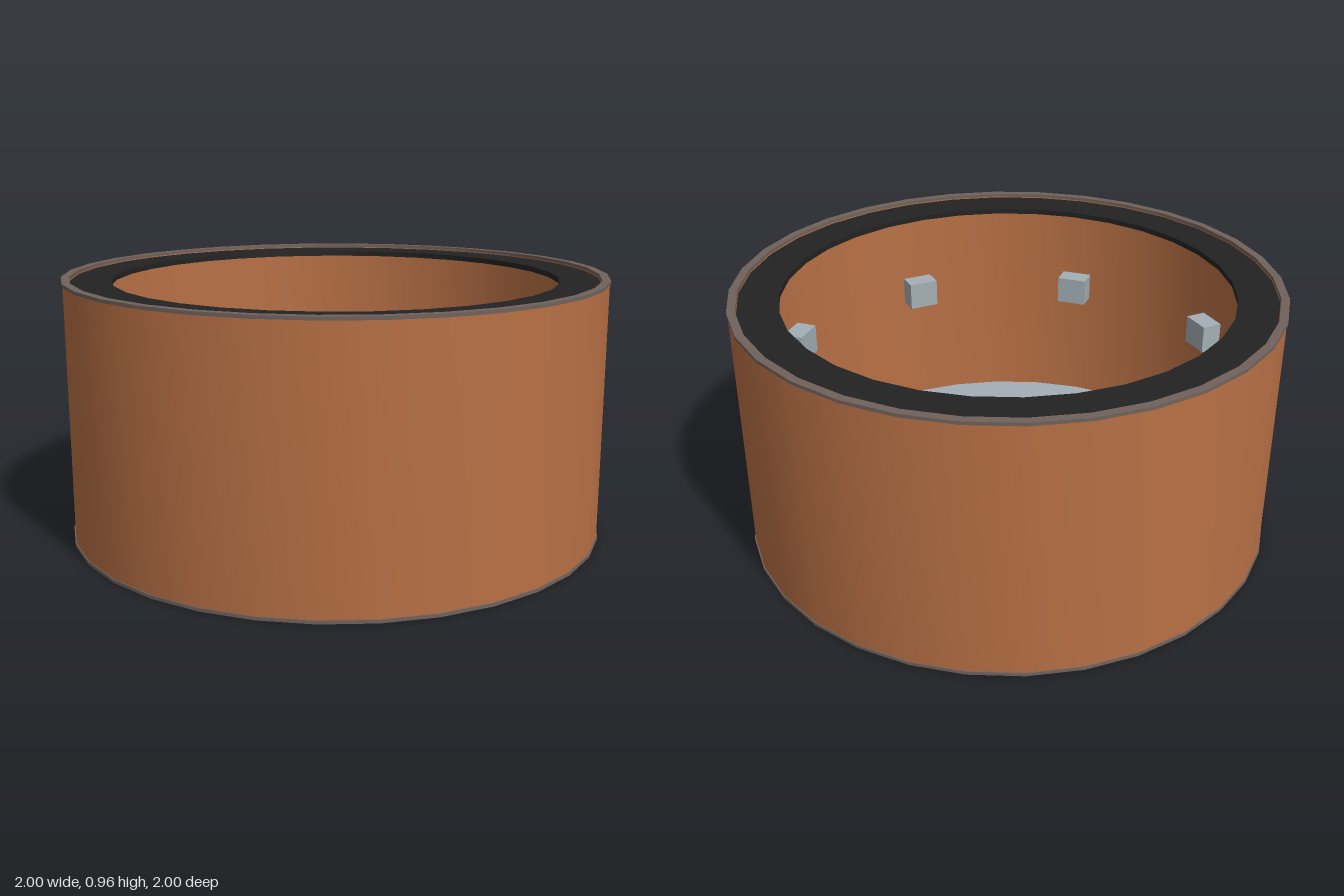
import * as THREE from 'three';
import { toCreasedNormals } from 'three/addons/utils/BufferGeometryUtils.js';

const SIDES = 32;

const mat = (name, color) => {
  const m = new THREE.MeshStandardMaterial({ color });
  m.name = name;
  return m;
};

// Closed ring with a rectangular section, smooth around and sharp at the rims
function ring(name, inner, outer, y0, y1, material) {
  const profile = [[inner, y0], [outer, y0], [outer, y1], [inner, y1], [inner, y0]]
    .map(([r, y]) => new THREE.Vector2(r, y));
  const geometry = toCreasedNormals(new THREE.LatheGeometry(profile, SIDES), 0.6);
  const mesh = new THREE.Mesh(geometry, material);
  mesh.name = name;
  return mesh;
}

export function createModel() {
  const copper = mat('copper', 0xb87045);
  const black = mat('black', 0x222222);
  const steel = mat('steel', 0xa3afb5);
  const trim = mat('brown grey trim', 0x70625c);

  const model = new THREE.Group();
  model.name = 'ringShell';

  // Outer wall with a thin trim hoop on each edge
  model.add(ring('shell', 0.975, 0.996, 0.012, 0.948, copper));
  model.add(ring('bottomHoop', 0.97, 1, 0, 0.012, trim));
  model.add(ring('topHoop', 0.97, 1, 0.948, 0.96, trim));

  // Inward flanges, set slightly inside the hoops
  model.add(ring('topFlange', 0.822, 0.968, 0.925, 0.945, black));
  model.add(ring('bottomFlange', 0.807, 0.972, 0.015, 0.035, steel));

  // Eight blocks around the inside
  const blocks = new THREE.Group();
  blocks.name = 'innerBlocks';
  const blockGeometry = new THREE.BoxGeometry(0.12, 0.11, 0.08);
  for (let i = 0; i < 8; i++) {
    const angle = (i + 0.5) * Math.PI / 4;
    const block = new THREE.Mesh(blockGeometry, steel);
    block.name = 'innerBlock';
    block.position.set(Math.sin(angle) * 0.877, 0.578, Math.cos(angle) * 0.877);
    block.rotation.y = angle;
    blocks.add(block);
  }
  model.add(blocks);

  return model;
}
